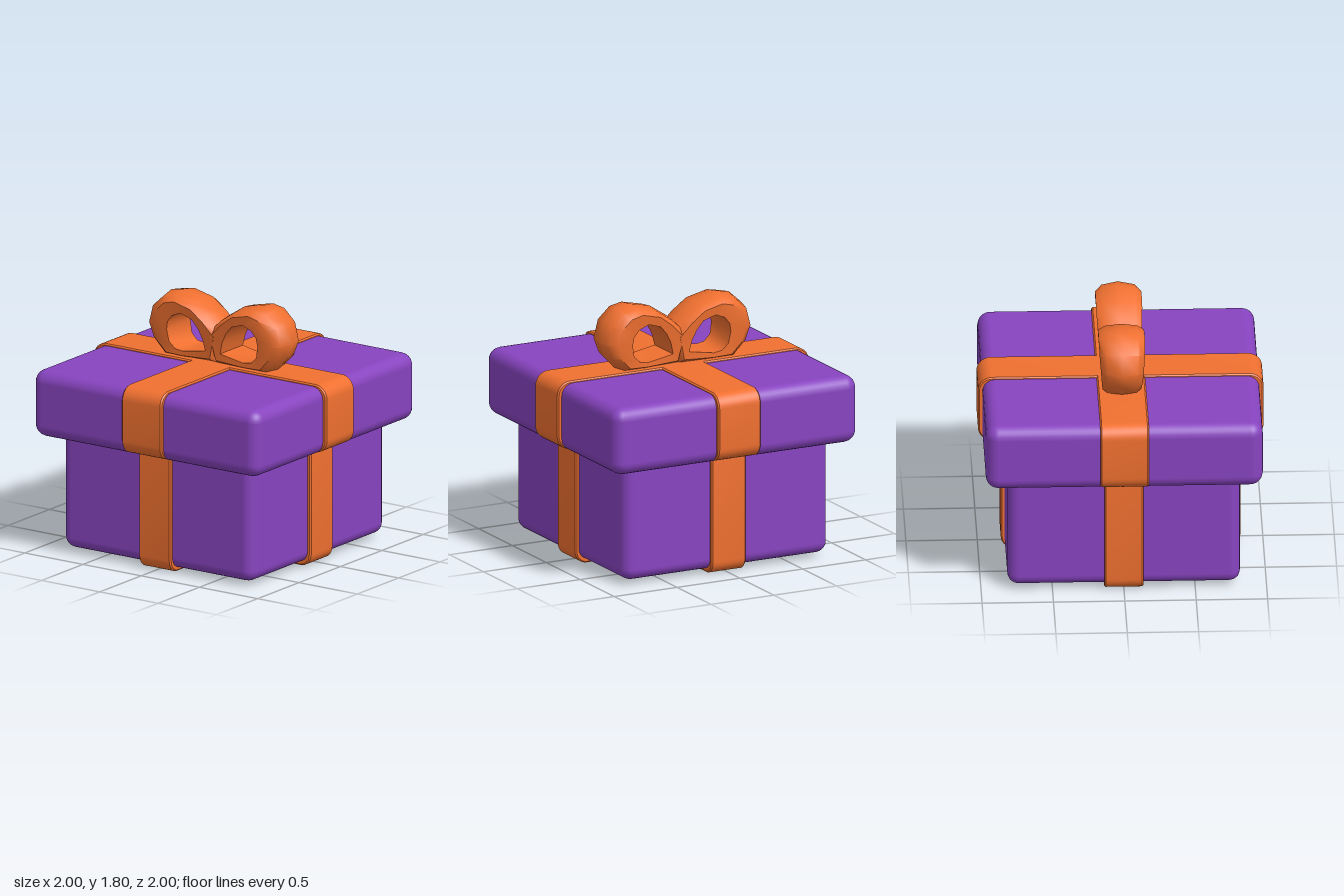
import * as THREE from 'three';
import { toCreasedNormals } from 'three/addons/utils/BufferGeometryUtils.js';
import { RoundedBoxGeometry } from 'three/addons/geometries/RoundedBoxGeometry.js';

const purple = new THREE.MeshStandardMaterial({ color: 0x8844c0 });
const orange = new THREE.MeshStandardMaterial({ color: 0xf07030 });

function named(name, geometry, material) {
  const mesh = new THREE.Mesh(geometry, material);
  mesh.name = name;
  return mesh;
}

// Rounded square box standing between two heights
function roundedBox(name, half, y0, y1, radius) {
  const mesh = named(name, new RoundedBoxGeometry(2 * half, y1 - y0, 2 * half, 3, radius), purple);
  mesh.position.y = (y0 + y1) / 2;
  return mesh;
}

// Ribbon band wrapped round a box: rounded rectangle with a finely bevelled edge
function ribbonGeometry(half, y0, y1, r, halfWidth) {
  const b = 0.01;
  const x = half - b, lo = y0 + b, hi = y1 - b;
  const s = new THREE.Shape();
  s.moveTo(-x + r, lo);
  s.lineTo(x - r, lo);
  s.absarc(x - r, lo + r, r, -Math.PI / 2, 0);
  s.lineTo(x, hi - r);
  s.absarc(x - r, hi - r, r, 0, Math.PI / 2);
  s.lineTo(-x + r, hi);
  s.absarc(-x + r, hi - r, r, Math.PI / 2, Math.PI);
  s.lineTo(-x, lo + r);
  s.absarc(-x + r, lo + r, r, Math.PI, Math.PI * 1.5);
  const depth = 2 * (halfWidth - b);
  const g = new THREE.ExtrudeGeometry(s, {
    depth, curveSegments: 4, bevelEnabled: true, bevelSize: b, bevelThickness: b, bevelSegments: 1,
  });
  g.translate(0, 0, -depth / 2);
  return toCreasedNormals(g, 0.6);
}

// One bow loop: domed band lofted round a hole, stations are [outer x, y, hole x, y]
function bowLoopGeometry() {
  const stations = [
    [-0.08, 1.56, 0.085, 1.51], [0.05, 1.675, 0.12, 1.58], [0.18, 1.76, 0.17, 1.64],
    [0.35, 1.797, 0.267, 1.67], [0.45, 1.78, 0.34, 1.64], [0.55, 1.69, 0.38, 1.59],
    [0.592, 1.55, 0.39, 1.53], [0.55, 1.44, 0.374, 1.445], [0.45, 1.335, 0.326, 1.4],
    [0.26, 1.335, 0.26, 1.39], [0, 1.335, 0.064, 1.425],
  ];
  // Cross-section: [hole-to-outer fraction, share of half width]
  const section = [[0, -0.97], [0.6, -1], [0.87, -0.72], [1, 0], [0.87, 0.72], [0.6, 1], [0, 0.97]];
  const pos = [], index = [];
  const n = stations.length, m = section.length;
  stations.forEach(([ox, oy, hx, hy], i) => {
    section.forEach(([t, k], j) => {
      const x = hx + (ox - hx) * t, y = hy + (oy - hy) * t;
      const w = THREE.MathUtils.mapLinear(Math.min(y, 1.7), 1.34, 1.7, 0.135, 0.162);
      pos.push(x, y, w * k);
      const i2 = (i + 1) % n, j2 = (j + 1) % m;
      const a = i * m + j, b = i * m + j2, c = i2 * m + j, d = i2 * m + j2;
      index.push(a, b, c, b, d, c);
    });
  });
  const g = new THREE.BufferGeometry();
  g.setAttribute('position', new THREE.Float32BufferAttribute(pos, 3));
  g.setIndex(index);
  return toCreasedNormals(g, 0.8);
}

export function createModel() {
  const gift = new THREE.Group();
  gift.name = 'giftBox';

  gift.add(roundedBox('box', 0.815, 0.03, 0.95, 0.08));
  gift.add(roundedBox('lid', 0.97, 0.848, 1.333, 0.09));

  // Crossed ribbons on the box and the lid
  const boxRibbon = ribbonGeometry(0.84, 0, 0.95, 0.08, 0.137);
  const lidRibbon = ribbonGeometry(1, 0.855, 1.347, 0.09, 0.17);
  for (const [side, angle] of [['Across', 0], ['FrontToBack', Math.PI / 2]]) {
    for (const [part, g] of [['boxRibbon', boxRibbon], ['lidRibbon', lidRibbon]]) {
      const band = named(part + side, g, orange);
      band.rotation.y = angle;
      gift.add(band);
    }
  }

  // Bow of two matching loops
  const bow = new THREE.Group();
  bow.name = 'bow';
  const loop = bowLoopGeometry();
  const left = named('bowLoopLeft', loop, orange);
  const right = named('bowLoopRight', loop, orange);
  right.rotation.y = Math.PI;
  bow.add(left, right);
  gift.add(bow);

  return gift;
}
